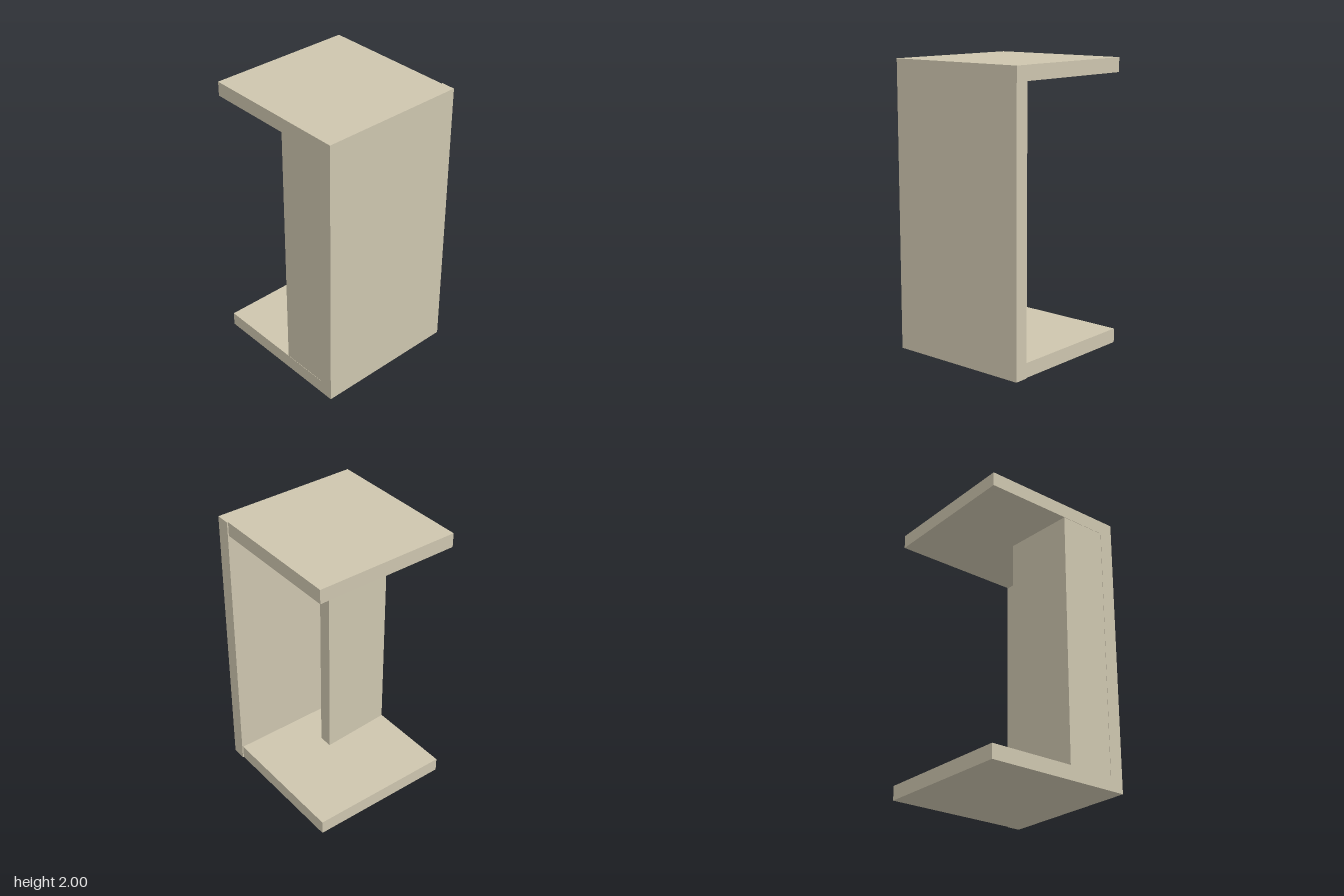
import * as THREE from 'three';

export function createModel() {
  const model = new THREE.Group();
  const material = new THREE.MeshStandardMaterial({ color: 0xcdc5ae });

  function add(name, geometry) {
    const mesh = new THREE.Mesh(geometry, material);
    mesh.name = name;
    model.add(mesh);
    return mesh;
  }

  // Box given by its extents on each axis
  function slab(name, [x0, x1], [y0, y1], [z0, z1]) {
    add(name, new THREE.BoxGeometry(x1 - x0, y1 - y0, z1 - z0))
      .position.set((x0 + x1) / 2, (y0 + y1) / 2, (z0 + z1) / 2);
  }

  const thick = 0.1;

  // Full-height front wall
  slab('frontPanel', [-0.522, 0.522], [0, 2], [0.433, 0.533]);

  // Floor and roof plates behind the front wall
  slab('bottomPlate', [-0.522, 0.514], [0, thick], [-0.533, 0.433]);
  slab('topPlate', [-0.522, 0.514], [2 - thick, 2], [-0.533, 0.433]);

  // L-shaped inner wall: side wall plus a slightly skewed back wall.
  // Footprint is drawn as (x, -z) and extruded upwards.
  const footprint = new THREE.Shape([
    [-0.52, 0.433], [-0.52, 0.09], [0, 0.06], [0, 0.16], [-0.42, 0.185], [-0.42, 0.433],
  ].map(([x, z]) => new THREE.Vector2(x, -z)));
  const wall = new THREE.ExtrudeGeometry(footprint, { depth: 2 - 2 * thick, bevelEnabled: false });
  wall.rotateX(-Math.PI / 2);
  add('innerWall', wall).position.y = thick;

  return model;
}
